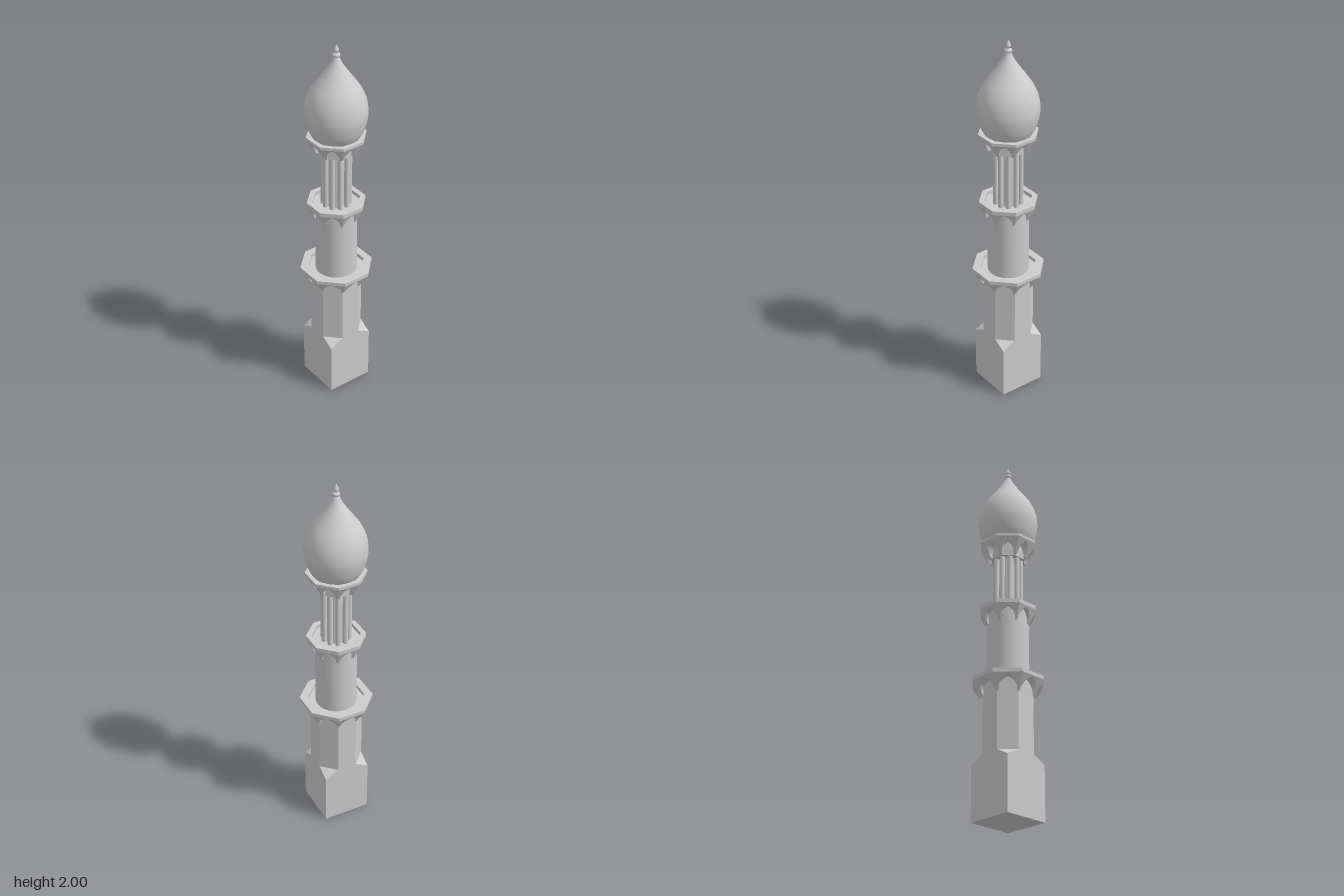
import * as THREE from 'three';
import { ConvexGeometry } from 'three/addons/geometries/ConvexGeometry.js';

const K = Math.tan(Math.PI / 8); // half side of an octagon with apothem 1
const material = new THREE.MeshStandardMaterial({ color: 0xcccccc });

function add(parent, name, geometry, y = 0) {
  const mesh = new THREE.Mesh(geometry, material);
  mesh.name = name;
  mesh.position.y = y;
  parent.add(mesh);
  return mesh;
}

// corners of a flat-fronted octagon, counter-clockwise
function octagon(apothem) {
  const r = apothem / Math.cos(Math.PI / 8);
  return Array.from({ length: 8 }, (_, i) => {
    const a = (i + 0.5) * Math.PI / 4;
    return new THREE.Vector2(r * Math.cos(a), r * Math.sin(a));
  });
}

// upright octagonal prism, with an optional octagonal opening
function octPrism(apothem, height, hole) {
  const shape = new THREE.Shape(octagon(apothem));
  if (hole) shape.holes.push(new THREE.Path(octagon(hole)));
  return new THREE.ExtrudeGeometry(shape, { depth: height, bevelEnabled: false }).rotateX(-Math.PI / 2);
}

// one flared side of a gallery with a pointed niche cut straight into it
function nicheGeometry({ inner, low, high, y0, y1, foot, apex }) {
  const b = low * K, t = high * K, w = b - foot;
  const s = new THREE.Shape();
  s.moveTo(-b, y0);
  s.lineTo(-w, y0);
  const spring = y0 + (apex - y0) * 0.3;
  s.lineTo(-w, spring);
  s.quadraticCurveTo(-w * 0.8, apex - (apex - y0) * 0.22, 0, apex);
  s.quadraticCurveTo(w * 0.8, apex - (apex - y0) * 0.22, w, spring);
  s.lineTo(w, y0);
  s.lineTo(b, y0);
  s.lineTo(t, y1);
  s.lineTo(-t, y1);
  s.closePath();
  const g = new THREE.ExtrudeGeometry(s, { depth: 1, bevelEnabled: false, curveSegments: 8 });
  const p = g.attributes.position;
  for (let i = 0; i < p.count; i++) {
    const outer = low + (high - low) * (p.getY(i) - y0) / (y1 - y0);
    const z = inner + (outer - inner) * p.getZ(i);
    const x = THREE.MathUtils.clamp(p.getX(i), -z * K, z * K); // mitre the corners
    p.setXYZ(i, x, p.getY(i), z);
  }
  g.computeVertexNormals();
  return g;
}

function gallery(parent, name, o) {
  const group = new THREE.Group();
  group.name = name;
  const niche = nicheGeometry(o);
  for (let i = 0; i < 8; i++) add(group, 'archedBracket', niche).rotation.y = i * Math.PI / 4;
  add(group, 'rim', octPrism(o.high, o.top - o.y1, o.hole), o.y1);
  parent.add(group);
}

export function createModel() {
  const tower = new THREE.Group();
  tower.name = 'minaret';

  // square base whose corners slope up to the octagonal shaft
  const h = 0.127, points = [];
  for (const y of [0, 0.29]) {
    for (const x of [-h, h]) for (const z of [-h, h]) points.push(new THREE.Vector3(x, y, z));
  }
  for (const c of octagon(h)) points.push(new THREE.Vector3(c.x, 0.33, c.y));
  add(tower, 'base', new ConvexGeometry(points));

  // shafts
  add(tower, 'octagonalShaft', octPrism(h, 0.395), 0.32);
  add(tower, 'roundShaft', new THREE.CylinderGeometry(0.108, 0.108, 0.405, 32), 0.9125);

  // three galleries
  gallery(tower, 'lowerGallery', { inner: 0.12, low: 0.129, high: 0.178, y0: 0.635, y1: 0.715,
    foot: 0.008, apex: 0.711, top: 0.735, hole: 0.138 });
  gallery(tower, 'middleGallery', { inner: 0.095, low: 0.106, high: 0.142, y0: 1.035, y1: 1.112,
    foot: 0.007, apex: 1.107, top: 1.133, hole: 0.116 });
  gallery(tower, 'upperGallery', { inner: 0.08, low: 0.097, high: 0.142, y0: 1.42, y1: 1.5,
    foot: 0.01, apex: 1.495, top: 1.515, hole: 0.118 });
  add(tower, 'upperGalleryCore', octPrism(0.084, 0.085), 1.416);

  // ring of slender columns around a core
  add(tower, 'columnCore', new THREE.CylinderGeometry(0.056, 0.056, 0.32, 20), 1.265);
  const column = new THREE.CylinderGeometry(0.014, 0.014, 0.32, 12);
  for (let i = 0; i < 10; i++) {
    const a = i * Math.PI / 5;
    add(tower, 'column', column, 1.265).position.set(0.066 * Math.sin(a), 1.265, 0.066 * Math.cos(a));
  }

  // bulbous dome
  const curve = new THREE.SplineCurve([
    [0.118, 1.508], [0.14, 1.55], [0.154, 1.605], [0.157, 1.65], [0.149, 1.705], [0.126, 1.76],
    [0.092, 1.81], [0.058, 1.857], [0.03, 1.9], [0.012, 1.94],
  ].map(([x, y]) => new THREE.Vector2(x, y)));
  const profile = [new THREE.Vector2(0, 1.508), new THREE.Vector2(0.118, 1.508), ...curve.getPoints(30)];
  add(tower, 'dome', new THREE.LatheGeometry(profile, 48));

  // finial: collar, neck and pointed bead
  const finial = [[0.01, 1.932], [0.019, 1.938], [0.02, 1.945], [0.017, 1.951], [0.008, 1.954],
    [0.009, 1.96], [0.014, 1.966], [0.013, 1.973], [0.006, 1.988], [0, 2]];
  add(tower, 'finial', new THREE.LatheGeometry(finial.map(([x, y]) => new THREE.Vector2(x, y)), 20));

  return tower;
}
